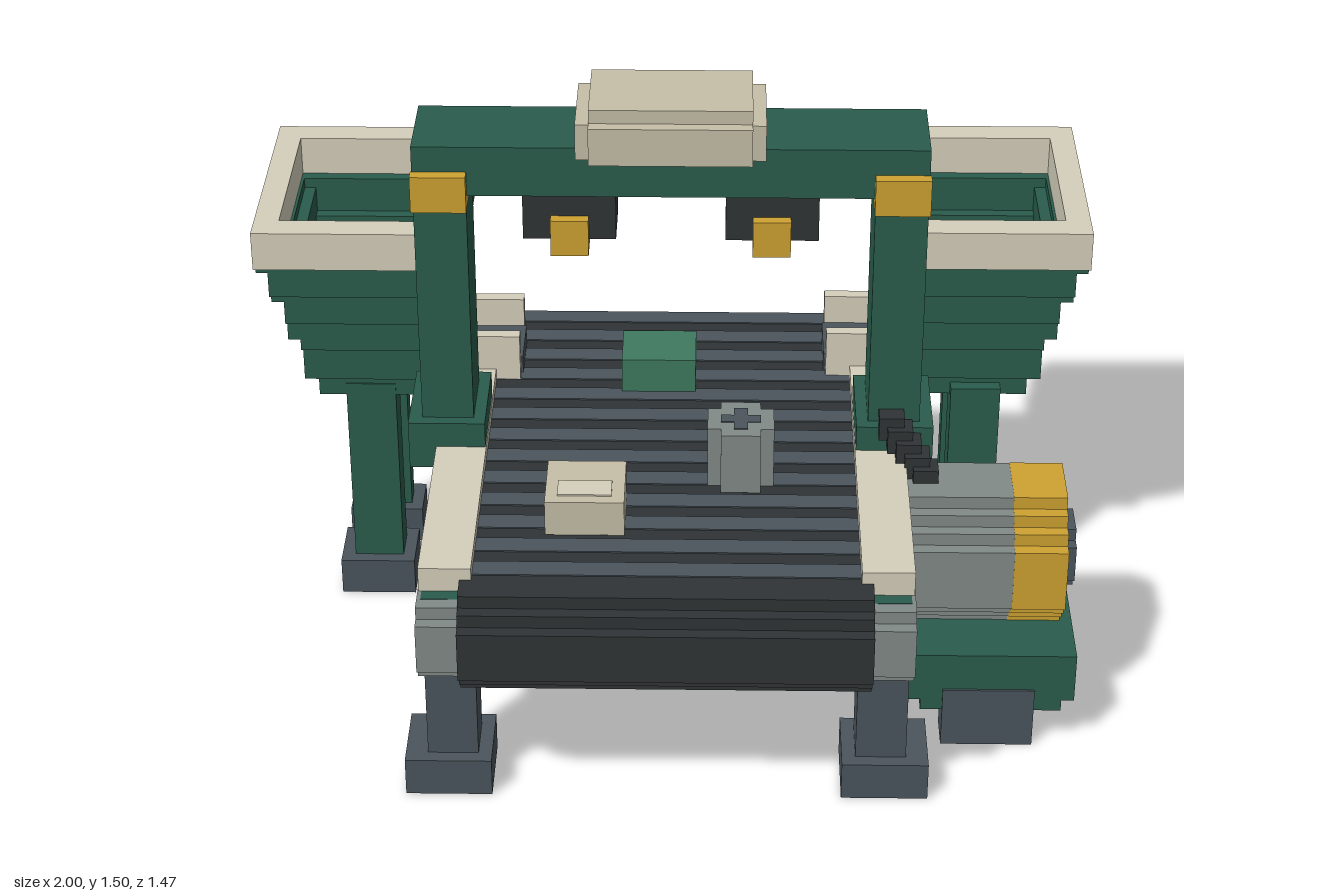
import * as THREE from 'three';

const COLORS = {
  green: 0x2a5c4c, cream: 0xd6d0bc, beige: 0xc6c0a8, slate: 0x4a555c,
  dark: 0x303436, grey: 0x838b88, yellow: 0xcfa332, leaf: 0x3f7a5f,
};
const mats = {};
for (const k in COLORS) mats[k] = new THREE.MeshStandardMaterial({ color: COLORS[k], flatShading: true });

// box given by its limits on each axis
function box(parent, name, color, x, y, z) {
  const g = new THREE.BoxGeometry(Math.abs(x[1] - x[0]), y[1] - y[0], Math.abs(z[1] - z[0]));
  const m = new THREE.Mesh(g, mats[color]);
  m.position.set((x[0] + x[1]) / 2, (y[0] + y[1]) / 2, (z[0] + z[1]) / 2);
  m.name = name;
  parent.add(m);
  return m;
}

// stair-stepped disc outline, n blocks across
function blockDisc(r, n) {
  const s = (2 * r) / n, right = [];
  for (let i = 0; i < n; i++) {
    const y = -r + (i + 0.5) * s;
    const half = s * (Math.round(Math.sqrt(r * r - y * y) / s - n / 2) + n / 2);
    right.push([half, -r + i * s], [half, -r + (i + 1) * s]);
  }
  const left = right.map(([x, y]) => [-x, y]).reverse();
  return [...right, ...left].map(([x, y]) => new THREE.Vector2(x, y));
}

// stepped cylinder lying along x
function drum(parent, name, color, r, n, x0, x1, y, z) {
  const g = new THREE.ExtrudeGeometry(new THREE.Shape(blockDisc(r, n)), { depth: x1 - x0, bevelEnabled: false });
  g.rotateY(Math.PI / 2);
  const m = new THREE.Mesh(g, mats[color]);
  m.position.set(x0, y, z);
  m.name = name;
  parent.add(m);
  return m;
}

function group(parent, name) {
  const g = new THREE.Group();
  g.name = name;
  parent.add(g);
  return g;
}

function buildConveyor(root) {
  const g = group(root, 'conveyor');
  box(g, 'beltBody', 'dark', [-0.467, 0.467], [0.35, 0.598], [-0.55, 0.58]);
  for (const z of [-0.58, 0.612]) drum(g, 'beltRoller', 'dark', 0.124, 8, -0.467, 0.467, 0.474, z);
  for (let i = 0; i < 13; i++) {
    const z = -0.65 + i * 0.0985;
    box(g, 'beltSlat', 'slate', [-0.44, 0.44], [0.58, 0.601], [z, z + 0.055]);
  }
  for (const s of [-1, 1]) {
    box(g, 'sideFrame', 'green', [s * 0.45, s * 0.553], [0.38, 0.568], [-0.67, 0.64]);
    box(g, 'railCap', 'cream', [s * 0.44, s * 0.56], [0.568, 0.628], [-0.64, 0.607]);
    for (const z of [-0.58, 0.612]) {
      drum(g, 'rollerCap', 'grey', 0.093, 6, s > 0 ? 0.46 : -0.562, s > 0 ? 0.562 : -0.46, 0.474, z);
      box(g, 'axle', 'slate', [s * 0.5, s * 0.565], [0.443, 0.505], [z - 0.031, z + 0.031]);
    }
    for (const z of [-0.515, 0.517]) {
      box(g, 'leg', 'slate', [s * 0.44, s * 0.558], [0.05, 0.41], [z - 0.06, z + 0.06]);
      box(g, 'foot', 'slate', [s * 0.408, s * 0.61], [0, 0.095], [z - 0.093, z + 0.093]);
    }
  }
}

// ring of four walls, outer half sizes hx/hz
function ring(parent, name, color, cx, cz, hx, hz, tx, tz, y) {
  for (const s of [-1, 1]) {
    box(parent, name, color, [cx + s * hx, cx + s * (hx - tx)], y, [cz - hz, cz + hz]);
    box(parent, name, color, [cx - hx + tx, cx + hx - tx], y, [cz + s * hz, cz + s * (hz - tz)]);
  }
}

function buildHopper(root, s) {
  const g = group(root, s > 0 ? 'leftHopper' : 'rightHopper');
  const cx = s * 0.75, cz = s > 0 ? -0.44 : -0.41;
  ring(g, 'rim', 'cream', cx, cz, 0.25, 0.295, 0.06, 0.07, [1.0, 1.097]);
  // stepped funnel: bottom, top, half width, half depth
  const layers = [
    [0.63, 0.73, 0.16, 0.172], [0.73, 0.76, 0.16, 0.205], [0.76, 0.82, 0.19, 0.205],
    [0.82, 0.88, 0.19, 0.235], [0.88, 0.91, 0.22, 0.235], [0.91, 0.975, 0.22, 0.265],
    [0.975, 1.0, 0.248, 0.265],
  ];
  box(g, 'funnelFloor', 'green', [cx - 0.13, cx + 0.13], [0.568, 0.632], [cz - 0.14, cz + 0.14]);
  for (const [y0, y1, hx, hz] of layers) ring(g, 'funnelWall', 'green', cx, cz, hx, hz, 0.065, 0.07, [y0, y1]);
  // support legs
  for (const [z0, z1] of [[-0.36, -0.267], [-0.577, -0.515]]) {
    box(g, 'hopperLeg', 'green', [s * 0.69, s * 0.813], [0.05, 0.6], [z0, z1]);
    box(g, 'hopperFoot', 'slate', [s * 0.66, s * 0.847], [0, 0.096], [z0 - 0.032, z1 + 0.032]);
  }
  // chute stepping down to the belt between two cheeks
  const zc = [cz - 0.08, cz + 0.08];
  box(g, 'chute', 'slate', [s * 0.375, s * 0.5], [0.59, 0.645], zc);
  box(g, 'chute', 'slate', [s * 0.5, s * 0.6], [0.6, 0.685], zc);
  box(g, 'chute', 'slate', [s * 0.588, s * 0.72], [0.62, 0.735], zc);
  for (const t of [-1, 1])
    box(g, 'chuteCheek', 'cream', [s * 0.38, s * 0.58], [0.6, 0.72], [cz + t * 0.08, cz + t * 0.112]);
}

function buildGantry(root) {
  const g = group(root, 'gantry');
  box(g, 'beam', 'green', [-0.593, 0.593], [1.285, 1.408], [-0.171, 0.05]);
  for (const s of [-1, 1]) {
    box(g, 'postBase', 'green', [s * 0.442, s * 0.625], [0.57, 0.692], [-0.172, 0.077]);
    box(g, 'post', 'green', [s * 0.47, s * 0.593], [0.6, 1.3], [-0.14, 0.048]);
    box(g, 'bracket', 'yellow', [s * 0.468, s * 0.596], [1.255, 1.287], [-0.174, 0.08]);
    box(g, 'bracket', 'yellow', [s * 0.468, s * 0.596], [1.287, 1.345], [0.048, 0.08]);
    box(g, 'bracket', 'yellow', [s * 0.468, s * 0.596], [1.287, 1.345], [-0.174, -0.14]);
    // hanging sensors
    box(g, 'sensor', 'dark', [s * 0.127, s * 0.343], [1.16, 1.29], [-0.14, 0.02]);
    box(g, 'sensorLens', 'yellow', [s * 0.19, s * 0.278], [1.13, 1.22], [-0.08, 0.048]);
  }
  box(g, 'topHousing', 'beige', [-0.218, 0.218], [1.38, 1.468], [-0.174, 0.053]);
  box(g, 'topHousing', 'beige', [-0.187, 0.187], [1.378, 1.47], [-0.203, 0.08]);
  box(g, 'topLid', 'beige', [-0.187, 0.187], [1.46, 1.503], [-0.172, 0.05]);
}

function buildMotor(root) {
  const g = group(root, 'motor');
  drum(g, 'motorBody', 'grey', 0.172, 11, 0.55, 0.812, 0.425, 0.157);
  drum(g, 'motorCover', 'yellow', 0.173, 11, 0.81, 0.936, 0.425, 0.157);
  drum(g, 'motorHub', 'slate', 0.078, 5, 0.9, 0.965, 0.412, 0.157);
  box(g, 'motorBase', 'green', [0.556, 0.965], [0.126, 0.252], [-0.078, 0.388]);
  box(g, 'motorBase', 'green', [0.6, 0.935], [0.096, 0.13], [-0.077, 0.387]);
  box(g, 'motorFoot', 'slate', [0.652, 0.87], [0, 0.156], [0.303, 0.394]);
  box(g, 'motorFoot', 'slate', [0.652, 0.87], [0, 0.12], [-0.047, 0.048]);
  // stepped cable from the motor to the gantry post
  for (let i = 0; i < 5; i++) {
    const x = 0.605 - i * 0.02, y = 0.6 + i * 0.024, z = 0.145 - i * 0.02;
    box(g, 'cable', 'dark', [x - 0.03, x + 0.03], [y - 0.03, y + 0.03], [z - 0.03, z + 0.03]);
  }
}

function buildCargo(root) {
  const g = group(root, 'cargo');
  box(g, 'parcel', 'beige', [-0.283, -0.1], [0.6, 0.688], [0.235, 0.418]);
  box(g, 'parcelTape', 'cream', [-0.255, -0.13], [0.66, 0.692], [0.328, 0.39]);
  box(g, 'greenParcel', 'leaf', [-0.125, 0.057], [0.6, 0.69], [-0.39, -0.24]);
  const can = drum(g, 'can', 'grey', 0.078, 5, 0, 0.155, 0, 0);
  can.rotation.z = Math.PI / 2;
  can.position.set(0.167, 0.6, 0.15);
  box(g, 'canCross', 'slate', [0.12, 0.214], [0.74, 0.757], [0.134, 0.166]);
  box(g, 'canCross', 'slate', [0.151, 0.183], [0.74, 0.757], [0.103, 0.197]);
}

export function createModel() {
  const root = new THREE.Group();
  root.name = 'sortingMachine';
  buildConveyor(root);
  for (const s of [-1, 1]) buildHopper(root, s);
  buildGantry(root);
  buildMotor(root);
  buildCargo(root);
  return root;
}
